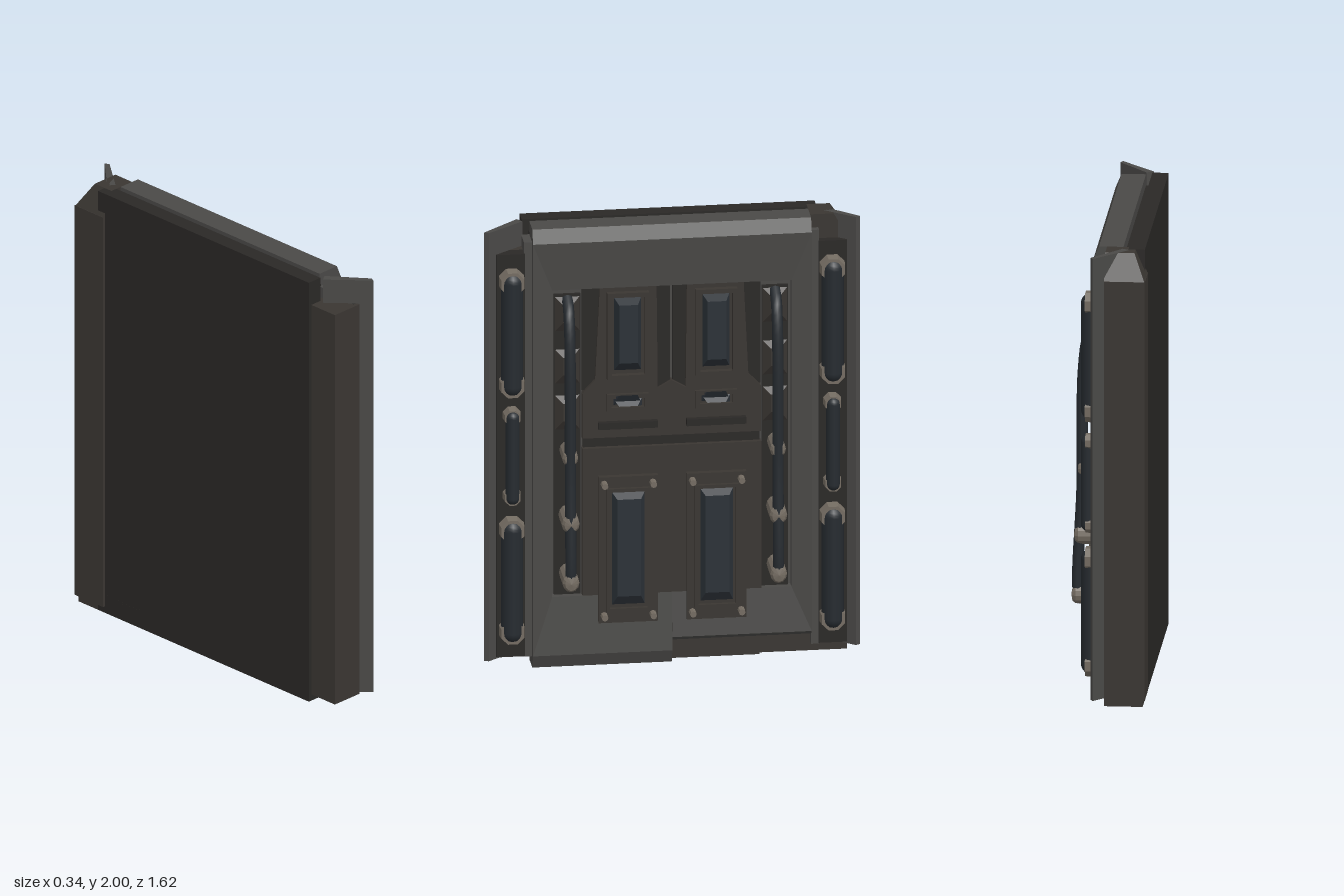
import * as THREE from 'three';

const paint = (color) => new THREE.MeshStandardMaterial({ color, flatShading: true });

export function createModel() {
  const frameMat = paint(0x4a4947), plateMat = paint(0x3a3632), darkMat = paint(0x2a2826);
  const glassMat = paint(0x2b3137), clampMat = paint(0x746c62);
  const hoseMat = new THREE.MeshStandardMaterial({ color: 0x262b30 });

  // Panel is built facing +z, then turned to face +x
  const panel = new THREE.Group();
  panel.name = 'wallPanel';

  function add(name, geo, mat, x = 0, y = 0, z = 0) {
    const m = new THREE.Mesh(geo, mat);
    m.name = name;
    m.position.set(x, y, z);
    panel.add(m);
    return m;
  }
  const box = (name, mat, x0, x1, y0, y1, z0, z1) =>
    add(name, new THREE.BoxGeometry(x1 - x0, y1 - y0, z1 - z0), mat, (x0 + x1) / 2, (y0 + y1) / 2, (z0 + z1) / 2);

  // Skin between rings of equal point count, closed at both ends
  function loft(rings) {
    const pos = [], n = rings[0].length;
    const tri = (a, b, c) => pos.push(...a, ...b, ...c);
    for (let k = 0; k < rings.length - 1; k++) for (let i = 0; i < n; i++) {
      const j = (i + 1) % n, a = rings[k], b = rings[k + 1];
      tri(a[i], a[j], b[j]);
      tri(a[i], b[j], b[i]);
    }
    const first = rings[0], last = rings[rings.length - 1];
    for (let i = 1; i < n - 1; i++) {
      tri(first[0], first[i + 1], first[i]);
      tri(last[0], last[i], last[i + 1]);
    }
    const g = new THREE.BufferGeometry();
    g.setAttribute('position', new THREE.Float32BufferAttribute(pos, 3));
    g.computeVertexNormals();
    return g;
  }
  const rect = (x0, x1, y0, y1, z) => [[x0, y0, z], [x1, y0, z], [x1, y1, z], [x0, y1, z]];

  // Rectangular surround with a sunken, sloping window
  function windowUnit(name, cx, y0, y1, w, z0, z1, rim) {
    const h = w / 2;
    add(name + 'Surround', loft([
      rect(cx - h, cx + h, y0, y1, z0), rect(cx - h, cx + h, y0, y1, z1),
      rect(cx - h + rim, cx + h - rim, y0 + rim, y1 - rim, z1),
      rect(cx - h + rim, cx + h - rim, y0 + rim, y1 - rim, z0 + 0.005),
    ]), plateMat);
    const i = h - rim - 0.005;
    add(name + 'Glass', loft([
      rect(cx - i, cx + i, y0 + rim, y1 - rim, z0),
      rect(cx - i + 0.025, cx + i - 0.025, y0 + rim + 0.06, y1 - rim - 0.03, z1 + 0.015),
    ]), glassMat);
  }

  // Back plate and the groove behind the front frame
  box('backPlate', darkMat, -0.63, 0.64, 0.01, 2, -0.165, -0.095);
  box('groove', darkMat, -0.6, 0.6, 0.01, 1.95, -0.1, -0.06);
  box('bottomStep', plateMat, 0, 0.38, 0.01, 0.11, -0.1, 0.02);
  box('bottomStepEnd', plateMat, 0.38, 0.76, 0.01, 0.1, -0.165, 0);

  // Front frame: bevelled rim sloping in to the recess, with a notch at the bottom right
  const outline = (w, yb, notch, yt, z) =>
    [[-w, yb, z], [0, yb, z], [0, notch, z], [w, notch, z], [w, yt, z], [-w, yt, z]];
  add('frontFrame', loft([
    outline(0.6, 0, 0.1, 2, -0.07), outline(0.6, 0, 0.1, 2, 0.035),
    outline(0.6, 0.06, 0.12, 1.94, 0.06), outline(0.515, 0.32, 0.32, 1.72, 0.04),
    outline(0.515, 0.32, 0.32, 1.72, 0),
  ]), frameMat);

  // Lower centre plate, seam and rod wells
  box('lowerPlate', plateMat, -0.385, 0.385, 0.32, 0.99, 0, 0.04);
  box('seamBar', darkMat, -0.38, 0.38, 0.99, 1.035, 0, 0.02);

  for (const s of [-1, 1]) {
    // Upper plate with chamfered shoulders
    const pts = [[0, 1.035], [0.385, 1.035], [0.385, 1.24], [0.33, 1.3], [0.31, 1.72], [0.065, 1.72], [0.06, 1.25], [0, 1.285]];
    const shape = new THREE.Shape(pts.map(([x, y]) => new THREE.Vector2(s * x, y)));
    add('upperPlate', new THREE.ExtrudeGeometry(shape, { depth: 0.035, bevelEnabled: false }), plateMat);
    box('upperBacking', darkMat, s * 0.195 - 0.19, s * 0.195 + 0.19, 1.25, 1.72, 0, 0.018);

    // Windows, vent and ledge
    const cx = s * 0.19;
    windowUnit('upperWindow', cx, 1.305, 1.7, 0.18, 0.02, 0.06, 0.02);
    box('lowerWindowPlate', plateMat, cx - 0.128, cx + 0.128, 0.2, 0.865, 0.03, 0.065);
    windowUnit('lowerWindow', cx, 0.255, 0.815, 0.19, 0.055, 0.08, 0.014);
    windowUnit('vent', cx, 1.155, 1.235, 0.18, 0.03, 0.05, 0.02);
    box('ledge', darkMat, cx - 0.128, cx + 0.128, 1.08, 1.11, 0.03, 0.06);

    // Corner bolts
    for (const bx of [0.085, 0.295]) for (const by of [0.235, 0.835]) {
      add('bolt', new THREE.CylinderGeometry(0.014, 0.016, 0.045, 8), clampMat, s * bx, by, 0.08).rotation.x = Math.PI / 2;
    }

    // Ribs and wedges inside the rod well
    box('rodWell', darkMat, s * 0.447 - 0.057, s * 0.447 + 0.057, 0.32, 1.69, 0, 0.012);
    for (const y of [1.15, 1.36, 1.6]) {
      const c = s * 0.447;
      add('wellWedge', loft([rect(c - 0.055, c + 0.055, y - 0.08, y + 0.08, 0.01),
        rect(c - 0.02, c + 0.02, y - 0.03, y + 0.05, 0.04)]), plateMat);
    }

    // Bent rod and its three round clamps
    const path = new THREE.CatmullRomCurve3([[0.3, 0.12], [0.42, 0.135], [0.9, 0.12], [1.4, 0.115], [1.56, 0.095], [1.64, 0.06], [1.67, 0.01]]
      .map(([y, z]) => new THREE.Vector3(s * 0.447, y === 0.3 ? 0.39 : y, z)));
    add('rod', new THREE.TubeGeometry(path, 32, 0.024, 8), hoseMat);
    for (const [y, front, r] of [[0.98, 0.14, 0.034], [0.685, 0.155, 0.038], [0.42, 0.166, 0.036]]) {
      const prof = [[0, 0], [r, 0], [r, front - 0.02], [r * 0.75, front - 0.006], [0, front]];
      const g = new THREE.LatheGeometry(prof.map((p) => new THREE.Vector2(...p)), 12);
      const m = add('rodClamp', g, clampMat, s * 0.447, y, 0);
      m.rotation.x = Math.PI / 2;
      m.scale.z = 1.15;
    }

    // Side channel, hose tray and flared outer flap
    const span = (a, b) => (s > 0 ? [a, b] : [-b, -a]);
    box('sideChannel', plateMat, ...span(0.6, 0.772), 0.04, 1.89, s > 0 ? -0.175 : -0.15, 0);
    box('hoseTray', darkMat, ...span(0.632, 0.755), 0.055, 1.89, -0.02, 0.035);
    box('trayRim', frameMat, ...span(0.6, 0.635), 0.05, 1.94, -0.07, 0.03);
    const section = [[0.65, -0.1], [0.63, -0.07], [0.79, 0.055], [0.81, 0.045]];
    if (s < 0) section.reverse();
    add('sideFlap', loft([0.045, 2].map((y) => section.map(([x, z]) => [s * x, y, z]))), frameMat);

    // Hoses with eight-sided end collars
    for (const [y0, y1, r] of [[0.13, 0.69, 0.048], [0.765, 1.19, 0.03], [1.255, 1.82, 0.048]]) {
      const hose = add('hose', new THREE.CapsuleGeometry(r, y1 - y0 - 2 * r, 6, 12), hoseMat, s * 0.69, (y0 + y1) / 2, 0.105 - r);
      hose.castShadow = true;
      for (const y of [y0 + r, y1 - r]) {
        const g = new THREE.CylinderGeometry(r + 0.006, r + 0.012, 0.06, 8);
        g.rotateY(Math.PI / 8);
        add('hoseCollar', g, clampMat, s * 0.69, y, 0.055).rotation.x = Math.PI / 2;
      }
    }
  }

  // Sloping cap on one side channel
  add('channelCap', loft([[1.885, 0.772, -0.175], [2, 0.7, -0.165 + 0.04]].map(([y, x, z]) =>
    [[0.6, y, 0], [x, y, 0], [x, y, z], [0.6, y, z]])), plateMat);

  panel.rotation.y = Math.PI / 2;
  const model = new THREE.Group();
  model.name = 'model';
  model.add(panel);
  return model;
}
